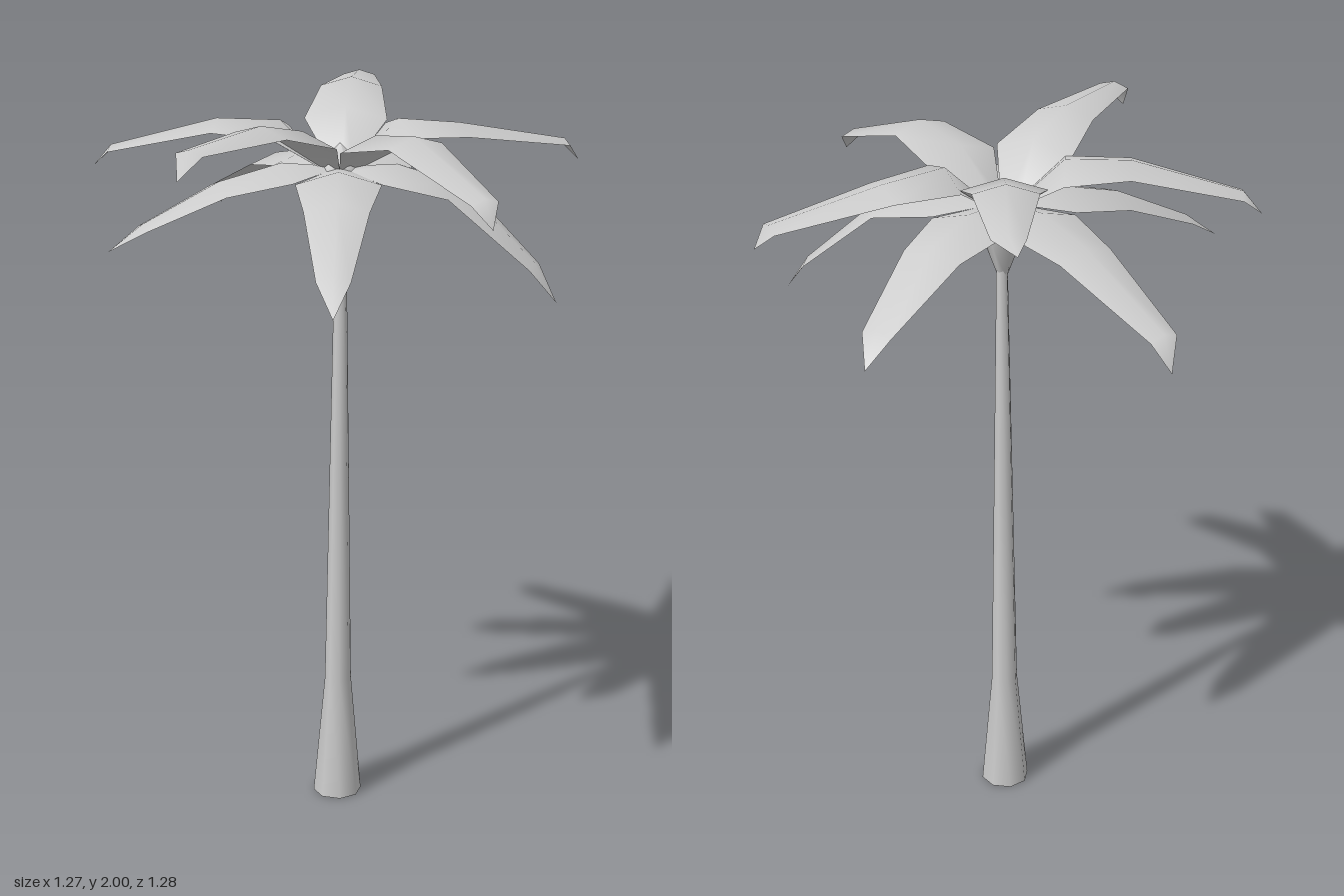
import * as THREE from 'three';

const material = new THREE.MeshStandardMaterial({ color: 0xcccccc });
const leafMaterial = new THREE.MeshStandardMaterial({ color: 0xcccccc, side: THREE.DoubleSide });

// end = centre of the last full row [x, z], tip = point [x, z],
// y = heights of the midrib at the wide row, middle row, end row and tip
const upperFronds = [
  { end: [0.01, 0.605], tip: [0, 0.64], y: [1.94, 1.98, 1.965, 1.89] },
  { end: [0.59, 0.178], tip: [0.632, 0.2], y: [1.93, 1.955, 1.85, 1.78] },
  { end: [0.365, -0.518], tip: [0.39, -0.55], y: [1.94, 1.92, 1.86, 1.8] },
  { end: [-0.318, -0.49], tip: [-0.37, -0.535], y: [1.95, 2.0, 1.975, 1.945] },
  { end: [-0.54, 0.305], tip: [-0.587, 0.325], y: [1.94, 1.94, 1.86, 1.8] },
];
const lowerFronds = [
  { end: [0.008, -0.575], tip: [0, -0.64], y: [1.84, 1.81, 1.68, 1.6] },
  { end: [0.515, -0.16], tip: [0.58, -0.17], y: [1.84, 1.8, 1.61, 1.51] },
  { end: [0.365, 0.488], tip: [0.405, 0.54], y: [1.84, 1.8, 1.68, 1.59] },
  { end: [-0.31, 0.437], tip: [-0.37, 0.505], y: [1.84, 1.8, 1.7, 1.63] },
  { end: [-0.59, -0.207], tip: [-0.635, -0.245], y: [1.84, 1.8, 1.67, 1.59] },
];

// Roof-shaped leaf: rows of edge, midrib, edge, closed by a single tip point
function frond({ end, tip, y }, name) {
  const reach = Math.hypot(end[0], end[1]);
  const [dx, dz] = [end[0] / reach, end[1] / reach];
  const rows = [
    { r: 0.04, half: 0.03, h: 1.825 },
    { r: 0.16, half: 0.112, h: y[0] },
    { r: 0.33, half: 0.084, h: y[1] },
    { r: reach, half: 0.043, h: y[2] },
  ];
  const positions = [];
  const index = [];
  rows.forEach(({ r, half, h }, i) => {
    for (const side of [-1, 0, 1]) {
      const s = side * half;
      positions.push(dx * r - dz * s, h - Math.abs(s) * 0.3, dz * r + dx * s);
    }
    if (i === 0) return;
    for (let k = 0; k < 2; k++) {
      const a = (i - 1) * 3 + k;
      index.push(a, a + 1, a + 3, a + 1, a + 4, a + 3);
    }
  });
  positions.push(tip[0], y[3], tip[1]);
  index.push(9, 10, 12, 10, 11, 12);

  const geometry = new THREE.BufferGeometry();
  geometry.setAttribute('position', new THREE.Float32BufferAttribute(positions, 3));
  geometry.setIndex(index);
  geometry.computeVertexNormals();
  const mesh = new THREE.Mesh(geometry, leafMaterial);
  mesh.name = name;
  return mesh;
}

function lathe(profile, sides, name) {
  const points = profile.map(([r, y]) => new THREE.Vector2(r, y));
  const mesh = new THREE.Mesh(new THREE.LatheGeometry(points, sides), material);
  mesh.name = name;
  return mesh;
}

export function createModel() {
  const palm = new THREE.Group();
  palm.name = 'palmTree';

  // Trunk with a flared foot, leaning slightly forward towards the base
  const trunk = lathe([[0.068, 0], [0.037, 0.35], [0.027, 0.95], [0.015, 1.66]], 8, 'trunk');
  const p = trunk.geometry.attributes.position;
  for (let i = 0; i < p.count; i++) p.setZ(i, p.getZ(i) + 0.014 * (1 - p.getY(i) / 1.4));
  palm.add(trunk);

  // Flat underside of the foot
  const base = new THREE.Mesh(new THREE.CircleGeometry(0.068, 8), material);
  base.name = 'trunkBase';
  base.rotation.x = Math.PI / 2;
  base.position.set(0, 0, 0.014);
  palm.add(base);

  // Pointed bud that carries the fronds
  palm.add(lathe([[0.015, 1.62], [0.052, 1.72], [0.066, 1.79], [0.05, 1.835], [0, 1.885]], 6, 'crownBud'));

  // Two whorls of fronds
  const crown = new THREE.Group();
  crown.name = 'crown';
  upperFronds.forEach((f, i) => crown.add(frond(f, `upperFrond${i + 1}`)));
  lowerFronds.forEach((f, i) => crown.add(frond(f, `lowerFrond${i + 1}`)));
  palm.add(crown);

  return palm;
}
